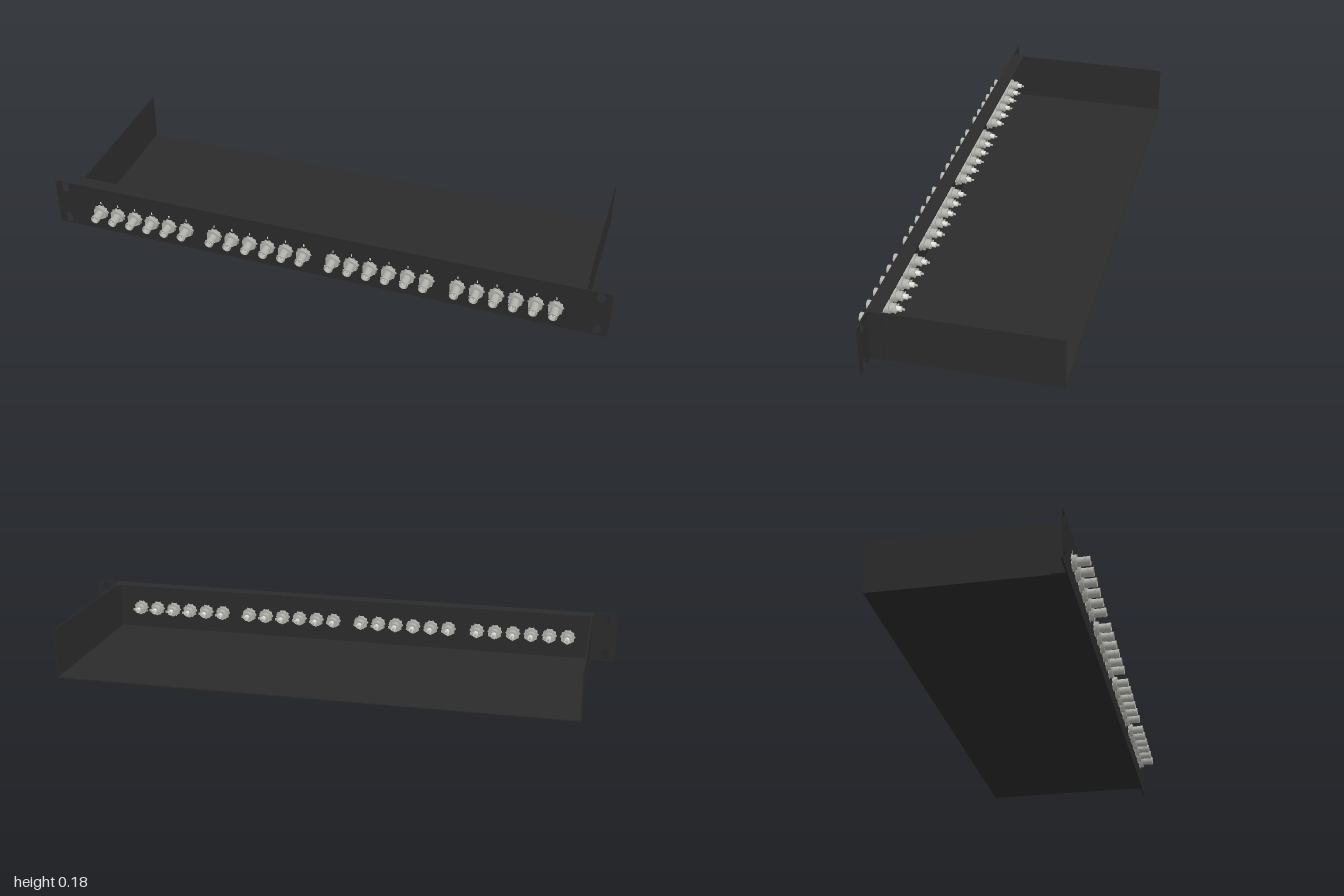
import * as THREE from 'three';

export function createModel() {
  const black = new THREE.MeshStandardMaterial({ color: 0x2b2b2b });
  black.name = 'black painted steel';
  const silver = new THREE.MeshStandardMaterial({ color: 0xb4b4ae });
  silver.name = 'nickel';
  const white = new THREE.MeshStandardMaterial({ color: 0xe4e4de });
  white.name = 'white insulator';

  const model = new THREE.Group();
  const H = 0.18, T = 0.005, FRONT = 0.283, BACK = -0.339;

  const add = (parent, name, geo, mat, x = 0, y = 0, z = 0) => {
    const m = new THREE.Mesh(geo, mat);
    m.name = name;
    m.position.set(x, y, z);
    parent.add(m);
    return m;
  };
  // box given by its minimum and maximum corners
  const box = (parent, name, mat, a, b) => add(parent, name,
    new THREE.BoxGeometry(b[0] - a[0], b[1] - a[1], b[2] - a[2]), mat,
    (a[0] + b[0]) / 2, (a[1] + b[1]) / 2, (a[2] + b[2]) / 2);

  // front panel with four mounting slots
  const face = new THREE.Shape();
  face.moveTo(-1, 0).lineTo(1, 0).lineTo(1, H).lineTo(-1, H).closePath();
  for (const x of [-0.963, 0.963]) for (const y of [0.025, 0.158]) {
    const slot = new THREE.Path(), r = 0.0135, h = 0.007;
    slot.absarc(x, y + h, r, 0, Math.PI);
    slot.absarc(x, y - h, r, Math.PI, Math.PI * 2);
    slot.closePath();
    face.holes.push(slot);
  }
  add(model, 'frontPanel', new THREE.ExtrudeGeometry(face,
    { depth: T, bevelEnabled: false, curveSegments: 10 }), black, 0, 0, FRONT - T);

  // folded lip behind the top of the panel
  box(model, 'topLip', black, [-0.914, H - 0.004, 0.235], [0.914, H - 0.0002, FRONT - T]);

  // open tray: floor, side walls, and outer brackets at the panel
  box(model, 'trayFloor', black, [-0.91, 0, BACK], [0.91, 0.004, FRONT - T]);
  for (const s of [-1, 1]) {
    const span = (a, b) => [Math.min(s * a, s * b), Math.max(s * a, s * b)];
    const [w0, w1] = span(0.906, 0.91);
    box(model, 'sideWall', black, [w0, 0.004, BACK], [w1, H - 0.0005, FRONT - T]);
    const [f0, f1] = span(0.91, 0.915);
    box(model, 'sideBracket', black, [f0, 0.001, 0.233], [f1, H - 0.0005, FRONT - T]);
  }

  // shared connector geometries, all turned to lie along z
  const cyl = (r, len, n) => new THREE.CylinderGeometry(r, r, len, n).rotateX(Math.PI / 2);
  const tube = (ri, pts) => new THREE.LatheGeometry(
    pts.map(p => new THREE.Vector2(p[0], p[1])), 16).rotateX(Math.PI / 2);

  // toothed lock washer
  const teeth = new THREE.Shape();
  for (let i = 0; i < 20; i++) {
    const a = i / 20 * Math.PI * 2, r = i % 2 ? 0.023 : 0.028;
    teeth[i ? 'lineTo' : 'moveTo'](Math.cos(a) * r, Math.sin(a) * r);
  }
  teeth.closePath();
  const washerGeo = new THREE.ExtrudeGeometry(teeth, { depth: 0.003, bevelEnabled: false });
  const nutGeo = cyl(0.0262, 0.013, 6);
  // hollow bayonet barrel with a rolled end
  const barrelGeo = tube(0, [[0.0145, 0], [0.0145, 0.031], [0.0155, 0.032], [0.0155, 0.039],
    [0.0145, 0.04], [0.012, 0.04], [0.012, 0.004], [0, 0.004]]);
  const insulatorGeo = cyl(0.008, 0.028, 12);
  const pinGeo = cyl(0.003, 0.034, 8);
  const lugGeo = cyl(0.0025, 0.005, 8).rotateY(Math.PI / 2);
  const threadGeo = cyl(0.0165, 0.036, 14);
  const tailGeo = cyl(0.009, 0.02, 10);
  const solderGeo = cyl(0.004, 0.012, 8);
  const tagGeo = new THREE.BoxGeometry(0.044, 0.009, 0.003);
  const markGeo = new THREE.BoxGeometry(0.004, 0.01, 0.001);

  const connector = x => {
    const g = new THREE.Group();
    g.name = 'coaxialConnector';
    g.position.set(x, 0.083, FRONT);
    add(g, 'frontWasher', washerGeo, silver);
    add(g, 'frontNut', nutGeo, silver, 0, 0, 0.0095);
    add(g, 'barrel', barrelGeo, silver, 0, 0, 0.016);
    add(g, 'insulator', insulatorGeo, white, 0, 0, 0.032);
    add(g, 'centrePin', pinGeo, silver, 0, 0, 0.033);
    for (const s of [-1, 1]) add(g, 'bayonetLug', lugGeo, silver, s * 0.0155, 0, 0.04);
    // rear side
    add(g, 'rearWasher', washerGeo, silver, 0, 0, -T - 0.003);
    add(g, 'rearNut', nutGeo, silver, 0, 0, -T - 0.0095);
    add(g, 'threadedBody', threadGeo, silver, 0, 0, -T - 0.018);
    add(g, 'rearInsulator', tailGeo, white, 0, 0, -0.048);
    add(g, 'solderPin', solderGeo, silver, 0, 0, -0.063);
    add(g, 'groundTag', tagGeo, silver, 0, 0, -0.043);
    // small painted tick above the connector
    add(g, 'positionMark', markGeo, white, 0, 0.036, 0.0005);
    model.add(g);
  };

  // four banks of six
  for (let bank = 0; bank < 4; bank++)
    for (let i = 0; i < 6; i++)
      connector(-0.66 + bank * 0.4385 + (i - 2.5) * 0.0665);

  return model;
}
